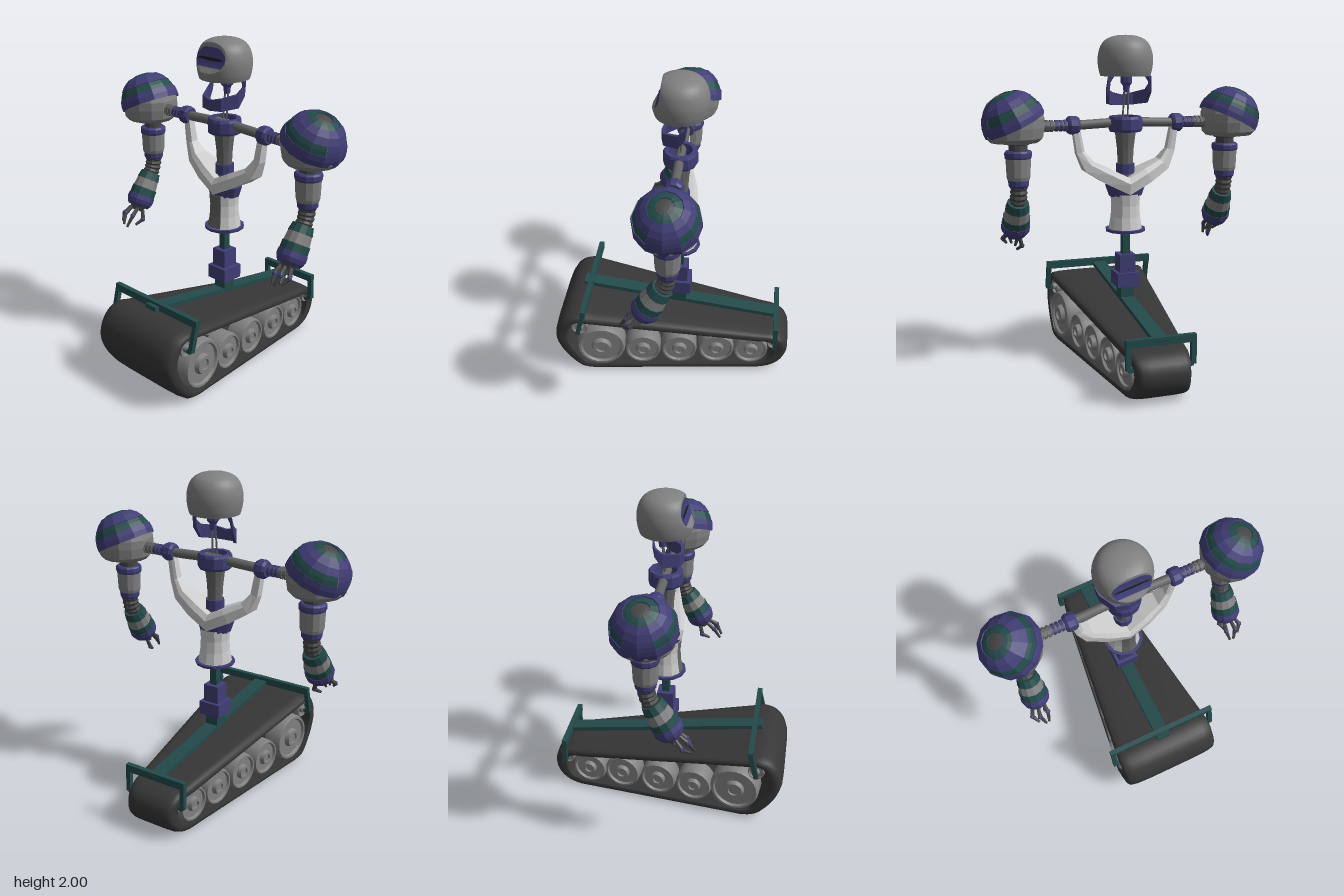
import * as THREE from 'three';
import { toCreasedNormals } from 'three/addons/utils/BufferGeometryUtils.js';

const LIGHT = 0xcccccc, GREY = 0x808080, IRON = 0x646464, DARK = 0x464646, RUBBER = 0x363636, PURPLE = 0x403e76, TEAL = 0x234a4a;
const ZC = -0.03; // depth of the body's axis
const V = (x, y, z) => new THREE.Vector3(x, y, z);

export function createModel() {
  const model = new THREE.Group();

  function add(parent, name, geo, color, flat = true, pos = [0, 0, 0]) {
    const mat = new THREE.MeshStandardMaterial({ color, flatShading: flat, side: THREE.DoubleSide });
    const mesh = new THREE.Mesh(geo, mat);
    mesh.name = name;
    mesh.position.set(...pos);
    parent.add(mesh);
    return mesh;
  }
  const group = (parent, name, x = 0, y = 0, z = 0) => {
    const g = new THREE.Group();
    g.name = name;
    g.position.set(x, y, z);
    parent.add(g);
    return g;
  };
  // profile as [radius, y] pairs, bottom to top
  const lathe = (pts, seg = 12, p0 = 0, pl = Math.PI * 2) =>
    new THREE.LatheGeometry(pts.map(p => new THREE.Vector2(...p)), seg, p0, pl);
  const drum = (r0, r1, y0, y1, seg = 12) => lathe([[0, y0], [r0, y0], [r1, y1], [0, y1]], seg);
  // square beam between two points
  function beam(parent, name, a, b, w, h, color) {
    const m = add(parent, name, new THREE.BoxGeometry(w, h, a.distanceTo(b)), color);
    m.position.copy(a).lerp(b, 0.5);
    m.lookAt(b);
  }
  // skin over rings of points, capped unless the rings form a loop
  function loft(rings, loop = false) {
    const n = rings[0].length, m = rings.length, idx = [];
    for (let i = 0; i < (loop ? m : m - 1); i++) for (let j = 0; j < n; j++) {
      const a = i * n + j, b = i * n + (j + 1) % n, k = ((i + 1) % m) * n, c = k + j, d = k + (j + 1) % n;
      idx.push(a, b, d, a, d, c);
    }
    if (!loop) for (let j = 1; j < n - 1; j++) {
      const e = (m - 1) * n;
      idx.push(0, j + 1, j, e, e + j, e + j + 1);
    }
    const p = rings.flat();
    let vol = 0;
    for (let i = 0; i < idx.length; i += 3) vol += p[idx[i]].dot(p[idx[i + 1]].clone().cross(p[idx[i + 2]]));
    if (vol < 0) idx.reverse();
    const g = new THREE.BufferGeometry().setFromPoints(p);
    g.setIndex(idx);
    g.computeVertexNormals();
    return g;
  }

  // ---- Tracked base: one wide crowned belt, tapering towards the back
  const base = group(model, 'trackedBase');
  const halfWidth = z => Math.min(0.17 + (z + 0.66) * 0.12, 0.318);
  const loopPts = [[.58, .455], [.66, .43], [.717, .36], [.737, .27], [.712, .18], [.655, .09], [.585, .025], [.5, .003],
    [.4, .003], [-.5, .003], [-.58, .005], [-.66, .03], [-.715, .085], [-.737, .155], [-.715, .23], [-.65, .275], [-.55, .29], [.48, .441]];
  const beltCurve = new THREE.CatmullRomCurve3(loopPts.map(p => V(0, p[1], p[0])), true);
  const section = [[-1, .03], [-.985, .016], [-.94, .007], [-.8, .002], [-.5, 0], [.5, 0], [.8, .002], [.94, .007], [.985, .016], [1, .03], [.98, .042], [-.98, .042]];
  const beltRings = [];
  for (let i = 0; i < 120; i++) {
    const c = beltCurve.getPointAt(i / 120), t = beltCurve.getTangentAt(i / 120), w = halfWidth(c.z), k = 1 + .9 * Math.abs(t.y);
    beltRings.push(section.map(([u, d]) => V(u * w, c.y - t.z * d * k, c.z + t.y * d * k)));
  }
  add(base, 'belt', toCreasedNormals(loft(beltRings, true), 0.8), RUBBER, false);

  // ---- Road wheels, idlers and guard frame
  const wheels = [[.44, .2, .152], [.18, .16, .113], [-.05, .16, .113], [-.285, .16, .113], [-.505, .147, .109], [.57, .355, .052], [-.655, .21, .05]];
  for (const s of [1, -1]) for (const [z, y, r] of wheels) {
    const g = group(base, r > .1 ? 'roadWheel' : 'idler', s * (halfWidth(z) - (r > .15 ? .005 : .02)), y, z);
    g.rotation.y = s * 0.12;
    const prof = [[0, -.11], [r, -.11], [r, -.02], [r * .94, 0], [r * .85, 0], [r * .8, -.015], [r * .42, -.015], [r * .36, .012], [r * .22, .012], [r * .2, 0], [0, 0]];
    add(g, 'wheel', toCreasedNormals(lathe(prof, 24), 0.5), GREY, false).rotation.z = -s * Math.PI / 2;
  }
  beam(base, 'spineBar', V(0, .51, .58), V(0, .345, -.665), .085, .025, TEAL);
  for (const [x, y, z, yEnd, zEnd] of [[.34, .513, .535, .35, .575], [.192, .35, -.65, .2, -.655]]) {
    beam(base, 'crossBar', V(-x - .014, y, z), V(x + .014, y, z), .03, .045, TEAL);
    for (const s of [1, -1]) {
      beam(base, 'guardLeg', V(s * x, y, z), V(s * x, yEnd, zEnd), .028, .028, TEAL);
      beam(base, 'guardFoot', V(s * x, yEnd, zEnd), V(s * (halfWidth(z) - .03), yEnd, zEnd), .022, .022, TEAL);
    }
  }

  // ---- Lift post and waist
  const torso = group(model, 'torso', 0, 0, ZC);
  for (const [name, w, y0, y1, c] of [['postFoot', .085, .42, .51, TEAL], ['lowerSleeve', .14, .505, .59, PURPLE], ['upperSleeve', .1, .59, .7, PURPLE], ['post', .045, .7, .88, TEAL]])
    add(torso, name, new THREE.BoxGeometry(w, y1 - y0, w), c, true, [0, (y0 + y1) / 2, 0]);
  add(torso, 'waistPlate', lathe([[.05, .842], [.12, .842], [.122, .858], [.05, .858]], 12), PURPLE);
  add(torso, 'waist', lathe([[.102, .858], [.09, .93], [.086, 1], [.092, 1.07]], 12, Math.PI / 6), LIGHT);
  add(torso, 'waistFrontPanel', lathe([[.105, .862], [.093, .93], [.089, 1], [.095, 1.07]], 2, -Math.PI / 6, Math.PI / 3), IRON);
  add(torso, 'waistCollar', lathe([[0, 1.05], [.1, 1.055], [.122, 1.12], [.115, 1.14], [0, 1.14]], 10), PURPLE).scale.z = .8;

  // ---- Chest column, collar ring, harness
  add(torso, 'chestColumn', lathe([[.045, 1.14], [.045, 1.25], [.05, 1.34], [.062, 1.44]], 10), IRON);
  add(torso, 'chestRing', drum(.056, .056, 1.19, 1.25, 10), PURPLE);
  add(torso, 'neckRing', lathe([[.062, 1.44], [.095, 1.44], [.102, 1.455], [.102, 1.515], [.095, 1.53], [.07, 1.53], [.065, 1.46], [0, 1.46]], 12), PURPLE);
  const half = [[.303, 1.46, .042, .05], [.28, 1.325, .048, .06], [.232, 1.243, .075, .11], [.12, 1.182, .09, .18]];
  const mirrored = list => list.map(([x, ...r]) => [-x, ...r]).reverse();
  const path = [...half, [0, 1.122, .1, .215], ...mirrored(half)];
  add(torso, 'harness', loft(path.map(([x, y, t, d], i) => {
    const a = path[Math.max(i - 1, 0)], b = path[Math.min(i + 1, path.length - 1)];
    const n = V(a[1] - b[1], b[0] - a[0], 0).normalize().multiplyScalar(t / 2);
    return [[1, .45], [1, -.45], [-.3, -.5], [-1, -.4], [-1, .4], [-.3, .5]].map(([k, z]) => V(x + n.x * k, y + n.y * k, z * d));
  })), LIGHT);

  // ---- Shoulder bar with rings
  const barCurve = new THREE.CatmullRomCurve3([V(-.55, 1.485, 0), V(-.3, 1.485, 0), V(0, 1.495, 0), V(.3, 1.485, 0), V(.55, 1.485, 0)]);
  add(torso, 'shoulderBar', new THREE.TubeGeometry(barCurve, 24, .028, 10), IRON, false);
  for (const s of [1, -1]) {
    const ring = (name, x, r, w, c) => { add(torso, name, new THREE.CylinderGeometry(r, r, w, 10), c, true, [s * x, 1.485, 0]).rotation.z = Math.PI / 2; };
    add(torso, 'barClamp', lathe([[.025, -.035], [.045, -.035], [.055, -.02], [.055, .02], [.045, .035], [.025, .035]], 10), PURPLE, true, [s * .32, 1.485, 0]).rotation.z = Math.PI / 2;
    for (const x of [.37, .395, .42]) ring('barRing', x, .034, .016, PURPLE);
    for (const x of [.45, .475, .5]) ring('barRib', x, .036, .016, IRON);
  }

  // ---- Arms
  const D = Math.PI / 180;
  for (const s of [1, -1]) {
    const arm = group(model, s > 0 ? 'leftArm' : 'rightArm', s * .665, 0, ZC);
    const ball = [[0, -.115], [.14, -.115], [.163, -.09], [.173, -.03], [.173, .02], [.16, .06], [.1, .13], [0, .16]];
    add(arm, 'shoulderBall', lathe(ball, 14), GREY, true, [0, 1.515, 0]);
    // layered dome tilted outwards
    const cap = group(arm, 'shoulderCap', 0, 1.51, 0);
    cap.rotation.z = -s * 25 * D;
    const band = (name, a, b, r, c, seg = 12, p0 = 0, pl = 360) => {
      const pts = [[r - .012, b], [r, b], [r, (a + b) / 2], [r, a], [r - .012, a]].map(([q, t]) => [q * Math.sin(t * D), q * Math.cos(t * D)]);
      add(cap, name, lathe(pts, seg, p0 * D, pl * D), c);
    };
    band('capTop', 0, 17, .174, DARK);
    band('capTealRing', 16, 32, .18, TEAL);
    band('capUpperPlate', 31, 58, .186, PURPLE);
    band('capTealBand', 57, 76, .183, TEAL, 10, s * 90 + 30, 300);
    band('capOuterPlate', 57, 76, .187, PURPLE, 2, s * 90 - 30, 60);
    band('capLowerPlate', 75, 95, .187, PURPLE);

    // upper arm, hanging straight down
    const upper = group(arm, 'upperArm', s * -.02, 0, 0);
    add(upper, 'shoulderJoint', lathe([[0, 1.34], [.055, 1.34], [.055, 1.382], [.068, 1.386], [.068, 1.41], [0, 1.41]]), DARK);
    add(upper, 'upperRing', lathe([[0, 1.305], [.076, 1.305], [.08, 1.315], [.08, 1.34], [.072, 1.35], [0, 1.35]]), PURPLE);
    add(upper, 'upperSleeve', lathe([[0, 1.18], [.064, 1.18], [.07, 1.2], [.074, 1.306], [0, 1.306]]), GREY);
    add(upper, 'lowerRing', lathe([[0, 1.135], [.05, 1.135], [.06, 1.15], [.062, 1.188], [0, 1.188]]), PURPLE);

    // ribbed elbow bending forwards
    const bend = new THREE.CatmullRomCurve3([V(0, 1.135, 0), V(0, 1.085, .01), V(0, 1.03, .035)]);
    for (let i = 0; i < 5; i++) {
      const rib = add(upper, 'elbowRib', lathe([[0, -.018], [.044, -.016], [.052, 0], [.044, .016], [0, .018]], 10), DARK);
      rib.position.copy(bend.getPointAt(i / 4));
      rib.rotation.x = -30 * D * i / 4;
    }

    // forearm and hand
    const fore = group(upper, 'forearm', 0, 1.045, .03);
    fore.rotation.x = -30 * D;
    add(fore, 'cuffTop', drum(.073, .062, -.05, 0), TEAL);
    add(fore, 'foreSleeve', drum(.078, .07, -.115, -.05), GREY);
    add(fore, 'cuffLower', drum(.083, .082, -.16, -.11), TEAL);
    add(fore, 'wrist', lathe([[0, -.235], [.066, -.235], [.08, -.215], [.088, -.19], [.086, -.158], [0, -.158]]), PURPLE);
    add(fore, 'palm', drum(.035, .05, -.262, -.232, 8), DARK);
    // [base x, base z, knuckle x, knuckle z, tip x, tip z, tip drop]
    const fingers = [[-.04, .015, -.062, .03, -.035, .045, -.355], [-.01, .035, -.02, .06, .002, .06, -.375], [.03, .025, .035, .045, .022, .045, -.385], [.025, -.03, .04, -.045, .02, -.02, -.355]];
    for (const [x, z, kx, kz, tx, tz, ty] of fingers) {
      const joints = [V(-s * x, -.25, z), V(-s * kx, -.305, kz), V(-s * tx, ty, tz)];
      for (let i = 0; i < 2; i++) {
        const a = joints[i], b = joints[i + 1];
        const seg = add(fore, 'finger', new THREE.CylinderGeometry(i ? .013 : .012, i ? .008 : .014, a.distanceTo(b), 6), DARK);
        seg.position.copy(a).lerp(b, .5);
        seg.quaternion.setFromUnitVectors(V(0, -1, 0), b.clone().sub(a).normalize());
        if (i) add(fore, 'knuckle', new THREE.SphereGeometry(.016, 6, 5), PURPLE, true, a.toArray());
      }
    }
  }

  // ---- Neck and jaw
  const head = group(model, 'head', 0, 0, ZC);
  for (const x of [-.014, .014])
    add(head, 'neckTube', new THREE.TubeGeometry(new THREE.CatmullRomCurve3([V(x, 1.45, 0), V(x, 1.58, -.005), V(x * .8, 1.7, -.02)]), 8, .006, 6), IRON, false);
  add(head, 'neckSocket', lathe([[0, 1.67], [.018, 1.67], [.022, 1.71], [.036, 1.725], [.036, 1.775], [0, 1.775]], 8), PURPLE, true, [0, 0, -.02]);
  const jawHalf = [[.105, 1.768, -.045, .02], [.125, 1.745, -.045, .03], [.128, 1.695, -.035, .05], [.12, 1.645, .005, .08], [.07, 1.628, .085, .075]];
  const jaw = [...jawHalf, [0, 1.618, .1, .062], ...mirrored(jawHalf)];
  add(head, 'jaw', loft(jaw.map(([x, y, z, h]) => {
    const o = V(x, 0, z).normalize().multiplyScalar(.01);
    return [[1, 1], [1, -1], [-1, -1], [-1, 1]].map(([k, v]) => V(x - .012 + o.x * k, y + v * h / 2, z + o.z * k));
  })), PURPLE);

  // ---- Helmet: dome with a scooped face
  const helmProfile = new THREE.SplineCurve([[.146, 1.765], [.156, 1.8], [.162, 1.85], [.158, 1.895], [.143, 1.94], [.112, 1.975], [.06, 1.995], [0, 2]].map(p => new THREE.Vector2(...p)));
  const shell = helmProfile.getPoints(48);
  const scoop = y => .1 + .06 * ((1.98 - y) / .17) ** 3;
  const dome = new THREE.LatheGeometry([new THREE.Vector2(0, 1.765), ...shell], 72);
  const dp = dome.attributes.position;
  for (let i = 0; i < dp.count; i++) if (dp.getY(i) < 1.98) dp.setZ(i, Math.min(dp.getZ(i), scoop(dp.getY(i))));
  add(head, 'helmet', toCreasedNormals(dome, .5), GREY, false);

  // visor lining the scoop
  const rows = shell.filter(p => p.y > 1.838 && p.y < 1.957);
  const visorRings = rows.map(p => {
    const z = scoop(p.y), oval = p.y > 1.87 ? .122 * Math.sqrt(1 - ((p.y - 1.87) / .092) ** 2) : .122;
    const w = Math.min(Math.sqrt(p.x * p.x - z * z) * .97, oval);
    return [V(-w, p.y, z + .003), V(w, p.y, z + .003), V(w, p.y, z - .006), V(-w, p.y, z - .006)];
  });
  add(head, 'visor', loft(visorRings), PURPLE);
  const slit = add(head, 'eyeSlit', new THREE.CylinderGeometry(.1, .1, .012, 20), 0x1c1c24, true, [0, 1.89, scoop(1.89)]);
  slit.rotation.x = Math.PI / 2;
  slit.scale.z = .09;
  return model;
}
